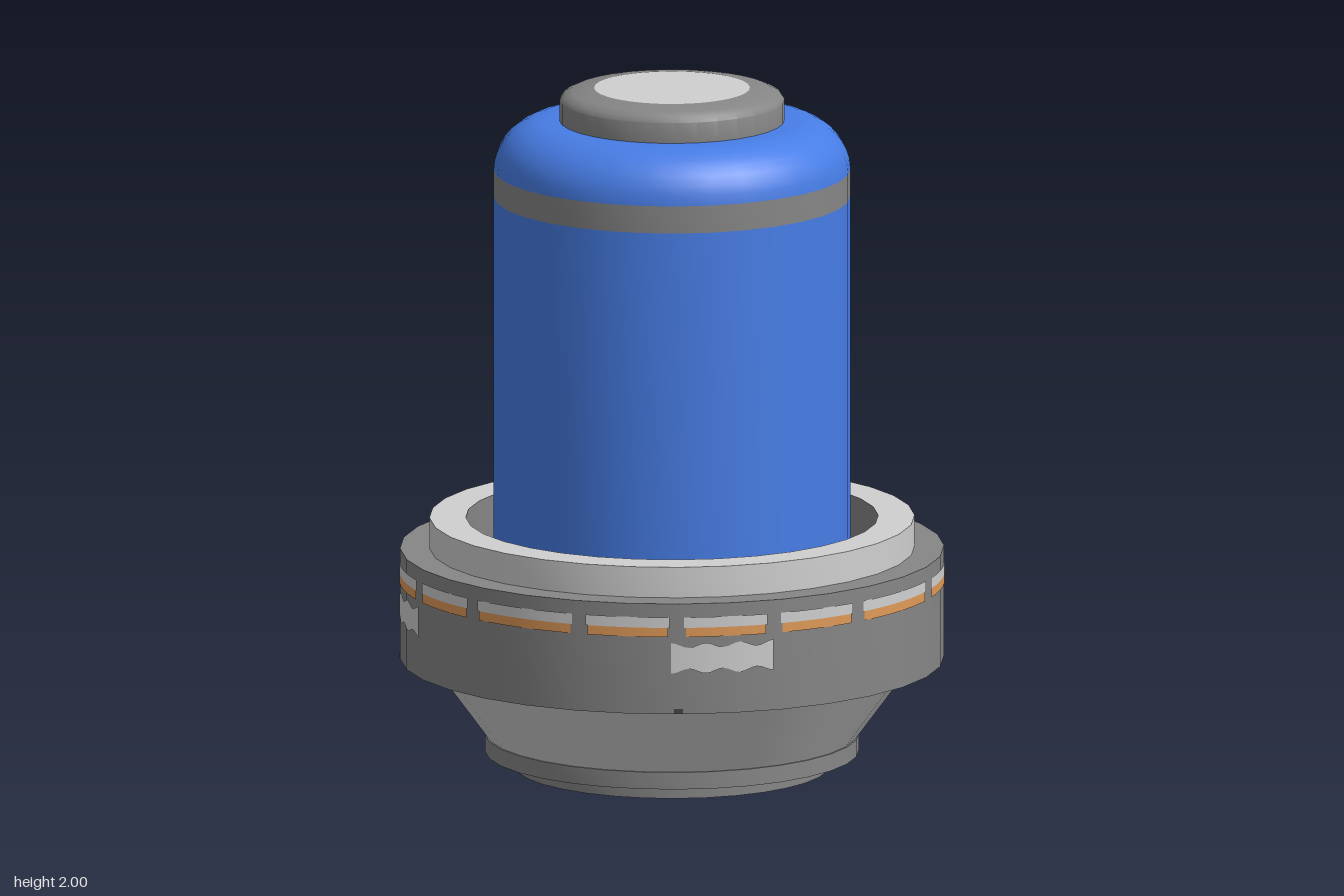
import * as THREE from 'three';
import { toCreasedNormals } from 'three/addons/utils/BufferGeometryUtils.js';

const SIDES = 32;
const RING_R = 0.785;
const DEG = Math.PI / 180;

function makeMaterial(name, color) {
  const m = new THREE.MeshStandardMaterial({ color });
  m.name = name;
  return m;
}

export function createModel() {
  const model = new THREE.Group();
  model.name = 'canister';

  const blue = makeMaterial('blue', 0x477de6);
  const gray = makeMaterial('gray', 0x868686);
  const light = makeMaterial('lightGray', 0xd0d0d0);
  const orange = makeMaterial('orange', 0xe09a58);
  const dark = makeMaterial('dark', 0x444444);

  function add(name, geometry, material, parent = model) {
    const mesh = new THREE.Mesh(geometry, material);
    mesh.name = name;
    parent.add(mesh);
    return mesh;
  }

  // Turned part; profile runs bottom to top along the outside
  function turned(name, profile, material) {
    const pts = profile.map(([r, y]) => new THREE.Vector2(r, y));
    add(name, toCreasedNormals(new THREE.LatheGeometry(pts, SIDES), 0.6), material);
  }

  // Curved patch on the ring, angles in degrees from the front towards +x
  function patch(name, start, width, y0, y1, material, parent, r = RING_R + 0.002) {
    const g = new THREE.CylinderGeometry(r, r, y1 - y0, 24, 1, true, start * DEG, width * DEG);
    g.translate(0, (y0 + y1) / 2, 0);
    return add(name, g, material, parent);
  }

  // Flat plate facing down, corners given as [x, z]
  function underPlate(name, corners, y, material, parent) {
    const g = new THREE.ShapeGeometry(new THREE.Shape(corners.map(([x, z]) => new THREE.Vector2(x, z))));
    g.rotateX(Math.PI / 2).translate(0, y, 0);
    add(name, g, material, parent);
  }

  function underDisc(name, radius, y, material, parent, [x, z] = [0, 0]) {
    const g = new THREE.CircleGeometry(radius, SIDES);
    g.rotateX(Math.PI / 2).translate(x, y, z);
    add(name, g, material, parent);
  }

  // Base: stepped foot, flared cone, wide ring and raised rim
  turned('foot', [[0.455, 0], [0.455, 0.045], [0.54, 0.045], [0.54, 0.095], [0.53, 0.095]], gray);
  turned('flaredCone', [[0.535, 0.095], [0.70, 0.32]], light);
  turned('wideRing', [[0.70, 0.32], [RING_R, 0.32], [RING_R, 0.645], [0.70, 0.645]], gray);
  turned('raisedRim', [[0.70, 0.645], [0.70, 0.735], [0.595, 0.735]], light);
  turned('socket', [[0.595, 0.735], [0.595, 0.58], [0.51, 0.58]], gray);

  // Body with band, rounded shoulder and cap
  turned('body', [[0.515, 0.58], [0.515, 1.68]], blue);
  turned('bodyBand', [[0.515, 1.68], [0.515, 1.76]], gray);
  const shoulder = [];
  for (let i = 0; i <= 8; i++) {
    const a = (i / 8) * 90 * DEG;
    shoulder.push([0.365 + 0.15 * Math.cos(a), 1.76 + 0.145 * Math.sin(a)]);
  }
  turned('shoulder', [...shoulder, [0.31, 1.905]], blue);
  turned('cap', [[0.325, 1.905], [0.325, 1.965], [0.315, 1.98], [0.29, 1.991], [0.225, 2]], gray);
  turned('capTop', [[0.225, 2], [0, 2]], light);

  // Dashes, badges and small marks repeat in each quarter of the ring
  const dashes = [[-13.3, 24], [13.7, 18], [34.7, 18], [55.7, 18]];
  for (let q = 0; q < 4; q++) {
    const quarter = new THREE.Group();
    quarter.name = 'ringQuarter' + (q + 1);
    quarter.rotation.y = q * 90 * DEG;
    model.add(quarter);

    for (const [start, width] of dashes) {
      patch('dashTop', start, width, 0.575, 0.606, light, quarter);
      patch('dashBottom', start + 0.4, width - 0.8, 0.548, 0.575, orange, quarter);
    }

    // Badge with wavy upper and lower edges
    const badge = patch('badge', 32, 22, 0.44, 0.53, light, quarter);
    const pos = badge.geometry.attributes.position;
    for (let i = 0; i < pos.count; i++) {
      const t = (Math.atan2(pos.getX(i), pos.getZ(i)) / DEG - 32) / 22;
      const wave = 0.007 * (1 - Math.cos(t * Math.PI * 6));
      const edge = pos.getY(i) > 0.485 ? -1 : 1;
      pos.setY(i, pos.getY(i) + edge * wave);
    }

    patch('smallMark', 32.6, 1.9, 0.322, 0.336, dark, quarter);
  }

  // Underside: light plate, blue segment, dark hub with a slot
  const underside = new THREE.Group();
  underside.name = 'underside';
  model.add(underside);
  underDisc('basePlate', 0.455, 0.005, light, underside);

  const segment = [];
  for (let a = 85; a <= 165; a += 5) {
    segment.push([0.44 * Math.sin(a * DEG), 0.44 * Math.cos(a * DEG)]);
  }
  underPlate('blueSegment', segment, 0.004, blue, underside);

  // Plate coordinates turned to line up with the segment
  const uv = (u, v) => [-0.77 * u + 0.64 * v, -0.64 * u - 0.77 * v];
  const strip = (name, u0, v0, u1, v1, w, y, material) => {
    const len = Math.hypot(u1 - u0, v1 - v0);
    const nu = (-(v1 - v0) / len) * w / 2;
    const nv = ((u1 - u0) / len) * w / 2;
    underPlate(name, [uv(u0 + nu, v0 + nv), uv(u1 + nu, v1 + nv),
      uv(u1 - nu, v1 - nv), uv(u0 - nu, v0 - nv)], y, material, underside);
  };
  strip('segmentDivider', -0.11, 0.43, -0.09, 0.2, 0.035, 0.003, gray);
  underDisc('hub', 0.26, 0.0025, gray, underside);
  underDisc('hubCentre', 0.2, 0.0015, dark, underside);
  strip('hubSlot', -0.11, -0.03, 0.11, 0.03, 0.022, 0.001, light);
  for (const s of [-1, 1]) {
    underDisc('slotEnd', 0.022, 0.0005, orange, underside, uv(0.12 * s, 0.033 * s));
  }

  return model;
}
